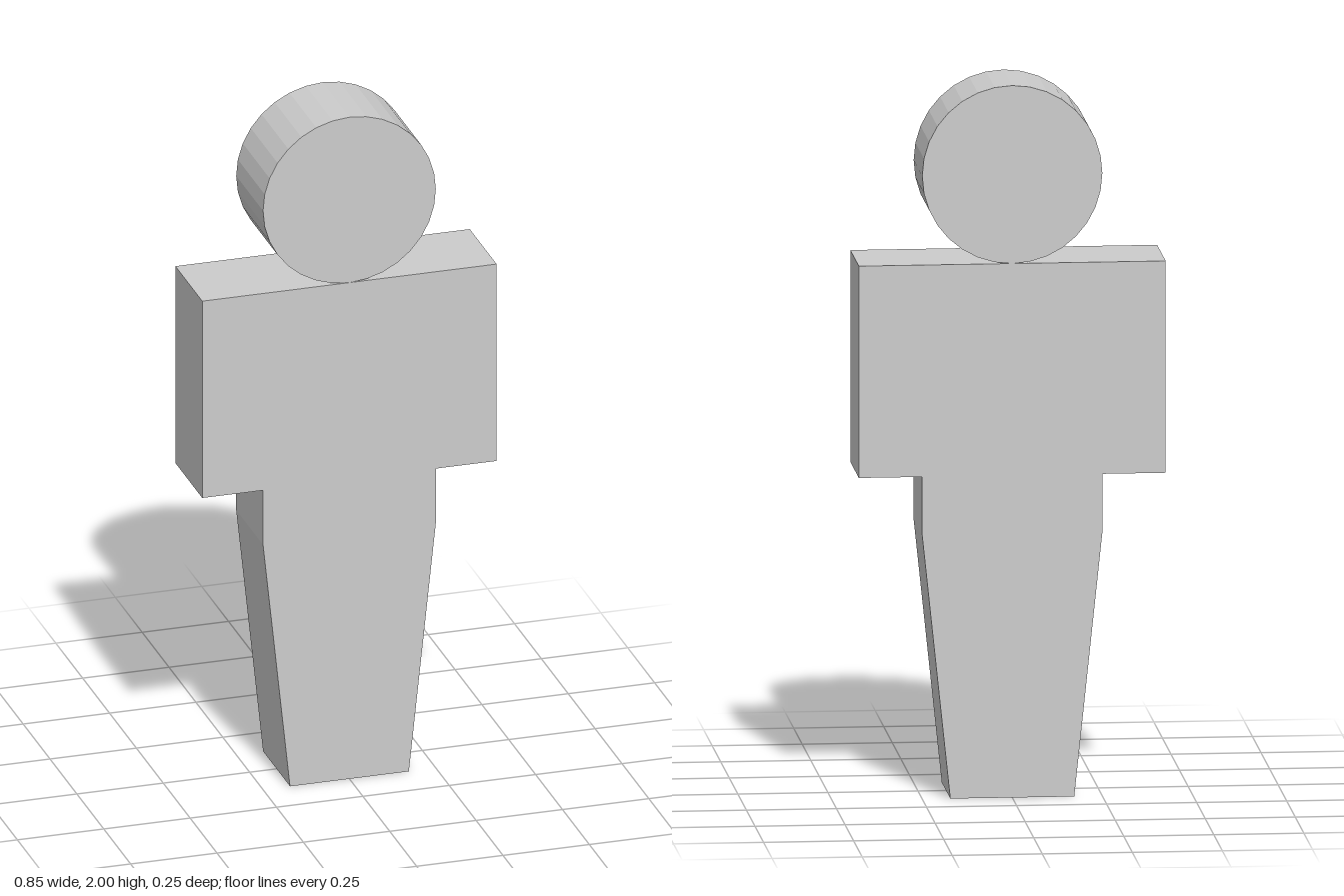
import * as THREE from 'three';

const DEPTH = 0.25;

export function createModel() {
  const model = new THREE.Group();
  model.name = 'standingFigure';
  const material = new THREE.MeshStandardMaterial({ color: 0xcccccc, flatShading: true });

  // Body: one half outline from foot to shoulder, mirrored and extruded
  const half = [[0.172, 0], [0.25, 0.74], [0.25, 0.905], [0.426, 0.905], [0.426, 1.5]];
  const outline = [
    ...half.map(([x, y]) => new THREE.Vector2(x, y)),
    ...half.map(([x, y]) => new THREE.Vector2(-x, y)).reverse(),
  ];
  const bodyGeometry = new THREE.ExtrudeGeometry(new THREE.Shape(outline), {
    depth: DEPTH,
    bevelEnabled: false,
  });
  bodyGeometry.translate(0, 0, -DEPTH / 2);
  const body = new THREE.Mesh(bodyGeometry, material);
  body.name = 'body';

  // Head: a disc of the same thickness, resting on the shoulders
  const headGeometry = new THREE.CylinderGeometry(0.25, 0.25, DEPTH, 32);
  headGeometry.rotateX(Math.PI / 2);
  const head = new THREE.Mesh(headGeometry, material);
  head.name = 'head';
  head.position.y = 1.75;

  model.add(body, head);
  return model;
}
